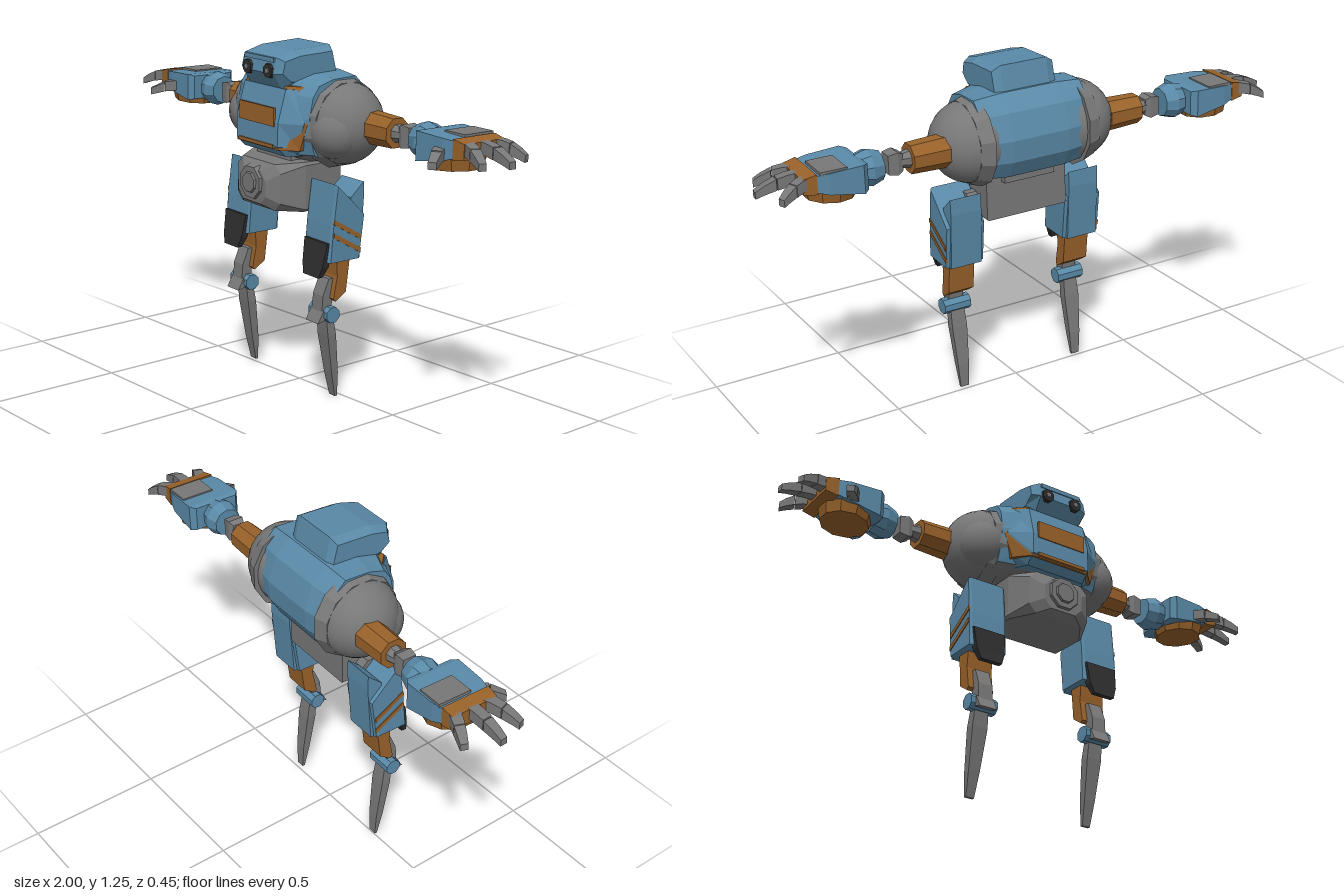
import * as THREE from 'three';

const mat = (name, color) => { const m = new THREE.MeshStandardMaterial({ color }); m.name = name; return m; };
const blue = mat('blue paint', 0x5a8aa8), grey = mat('grey metal', 0x787878);
const orange = mat('orange paint', 0x99622a), dark = mat('dark rubber', 0x2e2e2e);

function add(parent, name, geo, material) {
  const m = new THREE.Mesh(geo, material);
  m.name = name;
  parent.add(m);
  return m;
}
function flat(geo) {
  const g = geo.index ? geo.toNonIndexed() : geo;
  g.computeVertexNormals();
  return g;
}

// Skin a run of equal-length rings, with end caps. groupOf(j) picks a material slot for each side strip.
function loft(rings, groupOf = () => 0) {
  const n = rings[0].length, geo = new THREE.BufferGeometry(), slots = new Map(), last = rings.length - 1;
  const put = (slot, a, b, c) => { if (!slots.has(slot)) slots.set(slot, []); slots.get(slot).push([a, b, c]); };
  for (let j = 0; j < n; j++) {
    const k = (j + 1) % n;
    for (let i = 0; i < last; i++) {
      put(groupOf(j), rings[i][j], rings[i + 1][j], rings[i + 1][k]);
      put(groupOf(j), rings[i][j], rings[i + 1][k], rings[i][k]);
    }
  }
  for (const [ring, front] of [[rings[0], true], [rings[last], false]]) {
    const c = [0, 1, 2].map(a => ring.reduce((s, p) => s + p[a], 0) / n);
    for (let j = 0; j < n; j++) {
      const p = ring[j], q = ring[(j + 1) % n];
      front ? put(0, c, p, q) : put(0, c, q, p);
    }
  }
  // Turn the faces outward if the rings ran the other way.
  let volume = 0;
  const o = new THREE.Vector3(...rings[0][0]);
  const v = p => new THREE.Vector3(...p).sub(o);
  for (const tris of slots.values()) for (const [a, b, c] of tris) volume += v(a).dot(v(b).cross(v(c)));
  const pos = [];
  for (const [slot, tris] of slots) {
    geo.addGroup(pos.length / 3, tris.length * 3, slot);
    for (const [a, b, c] of tris) pos.push(...a, ...(volume > 0 ? b : c), ...(volume > 0 ? c : b));
  }
  geo.setAttribute('position', new THREE.Float32BufferAttribute(pos, 3));
  if (slots.size === 1) geo.clearGroups();
  return flat(geo);
}
const sideX = (x, zy) => zy.map(([z, y]) => [x, y, z]);
const slabX = (x0, x1, zy) => loft([sideX(x0, zy), sideX(x1, zy)]);
const rectY = (y, x, z, hx, hz) => [[x - hx, y, z - hz], [x + hx, y, z - hz], [x + hx, y, z + hz], [x - hx, y, z + hz]];
const rectZ = (z, hx, y0, y1, c) => [[-hx + c, y0, z], [hx - c, y0, z], [hx, y0 + c, z], [hx, y1 - c, z],
  [hx - c, y1, z], [-hx + c, y1, z], [-hx, y1 - c, z], [-hx, y0 + c, z]];
const rectX = (x, y, z, hy, hz) => [[x, y - hy, z - hz], [x, y + hy, z - hz], [x, y + hy, z + hz], [x, y - hy, z + hz]];
const box = (x, y, z, w, h, d) => flat(new THREE.BoxGeometry(w, h, d).translate(x, y, z));
// Prism with its axis along x, from radius r0 at x0 to r1 at x1.
const prismX = (r0, r1, x0, x1, n, y, z) => flat(new THREE.CylinderGeometry(r1, r0, x1 - x0, n)
  .rotateX(0).rotateY(Math.PI / n).rotateZ(-Math.PI / 2).translate((x0 + x1) / 2, y, z));
const prismZ = (r0, r1, z0, z1, n, x, y) => flat(new THREE.CylinderGeometry(r1, r0, z1 - z0, n)
  .rotateY(Math.PI / n).rotateX(Math.PI / 2).translate(x, y, (z0 + z1) / 2));
// Rectangular beam following points, tapering from half-width w0 to w1.
function beam(pts, w0, w1, h0, h1) {
  const a = pts[0], b = pts[pts.length - 1], len = Math.hypot(b[0] - a[0], b[2] - a[2]);
  const nx = -(b[2] - a[2]) / len, nz = (b[0] - a[0]) / len;
  return loft(pts.map(([x, y, z], i) => {
    const t = i / (pts.length - 1), w = w0 + (w1 - w0) * t, h = h0 + (h1 - h0) * t;
    return [[-1, -1], [-1, 1], [1, 1], [1, -1]].map(([s, u]) => [x + nx * w * s, y + h * u, z + nz * w * s]);
  }));
}

function mirrored(src, name) {
  const out = new THREE.Group();
  out.name = name;
  for (const m of src.children) {
    const g = (m.geometry.index ? m.geometry.toNonIndexed() : m.geometry.clone()).scale(-1, 1, 1);
    for (const a of [g.attributes.position, g.attributes.normal])
      for (let i = 0; i < a.count; i += 3) {
        const p = new THREE.Vector3().fromBufferAttribute(a, i + 1), q = new THREE.Vector3().fromBufferAttribute(a, i + 2);
        a.setXYZ(i + 1, q.x, q.y, q.z);
        a.setXYZ(i + 2, p.x, p.y, p.z);
      }
    add(out, m.name, g, m.material);
  }
  return out;
}

function makeTorso() {
  const g = new THREE.Group();
  g.name = 'torso';
  // Barrel shell: blue over the front, top and back, grey underneath
  const prof = [[0.13, 0.885], [0.16, 0.96], [0.165, 1.02], [0.145, 1.1], [0.11, 1.14], [0.03, 1.16], [-0.09, 1.165],
    [-0.15, 1.11], [-0.183, 1.02], [-0.178, 0.94], [-0.14, 0.875], [-0.03, 0.845], [0.06, 0.855]];
  const ring = (x, f, b, h) => sideX(x, prof.map(([z, y]) => [-0.03 + (z + 0.03) * (z > -0.03 ? f : b), 1 + (y - 1) * h]));
  add(g, 'torsoShell', loft([ring(-0.21, 0.76, 0.89, 0.94), ring(-0.11, 1, 1, 1), ring(0.11, 1, 1, 1), ring(0.21, 0.76, 0.89, 0.94)],
    j => (j >= 10 ? 1 : 0)), [blue, grey]);
  // Chest plate with an orange frame behind it
  const plan = (y, hw, z) => [[-hw, y, z - 0.16], [hw, y, z - 0.16], [hw, y, z - 0.055], [0.12, y, z], [-0.12, y, z], [-hw, y, z - 0.055]];
  add(g, 'chestFrame', loft([plan(0.905, 0.172, 0.183), plan(1, 0.203, 0.176), plan(1.125, 0.178, 0.142)]), orange);
  add(g, 'chestPlate', loft([plan(0.88, 0.15, 0.15), plan(0.916, 0.164, 0.186), plan(1, 0.194, 0.184), plan(1.115, 0.168, 0.152)]), blue);
  add(g, 'chestBadge', box(0, 1.018, 0.184, 0.2, 0.065, 0.009).rotateX(0), orange);
  add(g, 'chestLip', box(0, 0.916, 0.182, 0.2, 0.012, 0.02), orange);
  add(g, 'waist', loft([rectY(0.83, 0, 0.01, 0.1, 0.1), rectY(0.92, 0, 0.01, 0.1, 0.1)]), grey);
  return g;
}

function makeHead() {
  const g = new THREE.Group();
  g.name = 'head';
  const inner = [[0.182, 1.165], [0.172, 1.222], [0.1, 1.243], [-0.06, 1.252], [-0.082, 1.155], [-0.05, 1.1], [0.14, 1.1]];
  const outer = [[0.165, 1.168], [0.155, 1.21], [0.09, 1.225], [-0.05, 1.232], [-0.072, 1.15], [-0.05, 1.12], [0.13, 1.14]];
  add(g, 'headShell', loft([sideX(-0.12, outer), sideX(-0.09, inner), sideX(0.09, inner), sideX(0.12, outer)]), blue);
  add(g, 'browPlate', box(0, 1.213, 0.173, 0.17, 0.016, 0.012), blue);
  for (const x of [-0.06, 0.06]) {
    add(g, 'eyeRing', prismZ(0.027, 0.025, 0.165, 0.188, 8, x, 1.175), dark);
    add(g, 'eyeLens', prismZ(0.012, 0.01, 0.18, 0.192, 8, x, 1.175), grey);
  }
  return g;
}

function makePelvis() {
  const g = new THREE.Group();
  g.name = 'pelvis';
  add(g, 'pelvisBlock', loft([rectZ(-0.065, 0.16, 0.69, 0.855, 0.005), rectZ(0.09, 0.16, 0.68, 0.858, 0.01),
    rectZ(0.175, 0.125, 0.685, 0.85, 0.03), rectZ(0.205, 0.08, 0.705, 0.82, 0.03)]), grey);
  add(g, 'pelvisBoss', prismZ(0.068, 0.06, 0.19, 0.215, 8, 0, 0.775), grey);
  add(g, 'pelvisHub', prismZ(0.042, 0.036, 0.21, 0.222, 8, 0, 0.775), grey);
  add(g, 'hipAxle', prismX(0.04, 0.04, -0.2, 0.2, 8, 0.74, 0.03), grey);
  return g;
}

function makeLeg() {
  const g = new THREE.Group();
  g.name = 'leftLeg';
  const cx = 0.24;
  // Thigh armour with a top sloping down to the rear
  const thigh = [[0.072, 0.805], [0.09, 0.66], [0.1, 0.53], [-0.032, 0.53], [-0.052, 0.69]];
  const inset = thigh.map(([z, y]) => [z * 0.95, y * 0.98 + 0.012]);
  add(g, 'thigh', loft([sideX(cx - 0.074, inset), sideX(cx - 0.064, thigh), sideX(cx + 0.064, thigh), sideX(cx + 0.074, inset)]), blue);
  add(g, 'thighRear', slabX(cx - 0.06, cx + 0.06, [[0, 0.75], [0, 0.53], [-0.045, 0.53], [-0.058, 0.74], [-0.056, 0.8]]), blue);
  for (const y of [0.685, 0.637])
    add(g, 'thighStripe', slabX(cx + 0.07, cx + 0.077, [[0.083, y], [0.086, y - 0.016], [-0.034, y - 0.085], [-0.036, y - 0.068]]), orange);
  add(g, 'kneeGuard', loft([rectY(0.475, cx, 0.115, 0.042, 0.01), rectY(0.515, cx, 0.103, 0.056, 0.014), rectY(0.6, cx, 0.092, 0.064, 0.012)]), dark);
  // Lower leg
  add(g, 'shinBlock', slabX(cx - 0.05, cx + 0.05, [[0.05, 0.54], [0.045, 0.47], [0.06, 0.39], [0.05, 0.38], [0.005, 0.41], [-0.01, 0.54]]), orange);
  add(g, 'shinRod', slabX(cx - 0.028, cx + 0.028, [[0.065, 0.46], [0.09, 0.4], [0.095, 0.32], [0.055, 0.32], [0.04, 0.46]]), grey);
  add(g, 'ankle', prismX(0.03, 0.03, cx - 0.053, cx + 0.053, 8, 0.333, 0.062), blue);
  add(g, 'ankleGuard', slabX(cx - 0.035, cx + 0.035, [[0.09, 0.35], [0.115, 0.305], [0.075, 0.315]]), grey);
  add(g, 'footBlade', loft([rectY(0.01, cx, 0.012, 0.016, 0.005), rectY(0.1, cx, 0.024, 0.022, 0.014),
    rectY(0.25, cx, 0.047, 0.03, 0.018), rectY(0.34, cx, 0.06, 0.026, 0.014)]), grey);
  return g;
}

function makeArm() {
  const g = new THREE.Group();
  g.name = 'leftArm';
  const y = 0.995, z = -0.068;
  // Shoulder
  add(g, 'shoulderCollar', prismX(0.165, 0.148, 0.185, 0.235, 12, y, -0.035), grey);
  add(g, 'shoulderBall', new THREE.SphereGeometry(0.147, 24, 16).translate(0.203, y, -0.035), grey);
  add(g, 'shoulderSocket', new THREE.SphereGeometry(0.098, 20, 14).translate(0.235, 0.975, 0.02), grey);
  // Arm and elbow links
  add(g, 'upperArm', prismX(0.06, 0.055, 0.32, 0.455, 8, y, z), orange);
  add(g, 'elbowRod', prismX(0.034, 0.024, 0.45, 0.5, 8, y, z), grey);
  add(g, 'elbowBlock', loft([rectX(0.485, y, z, 0.03, 0.022), rectX(0.505, y, z, 0.04, 0.03), rectX(0.54, y, z, 0.034, 0.026)]), grey);
  add(g, 'wrist', prismX(0.052, 0.066, 0.562, 0.605, 10, y, z), blue);
  add(g, 'wristCuff', prismX(0.066, 0.055, 0.605, 0.648, 10, y, z), blue);
  // Hand
  add(g, 'handShell', loft([rectX(0.64, 1, z, 0.045, 0.085), rectX(0.66, 1, z, 0.05, 0.103), rectX(0.78, 1.008, z, 0.037, 0.1),
    rectX(0.84, 1.015, z, 0.025, 0.085)]), blue);
  const palm = flat(new THREE.CylinderGeometry(0.1, 0.088, 0.05, 10)).rotateZ(0.06).translate(0.745, 0.958, z);
  add(g, 'palm', palm, orange);
  add(g, 'handPlate', box(0.762, 1.046, -0.1, 0.095, 0.014, 0.125), grey);
  add(g, 'knuckleBand', loft([rectX(0.82, 1.013, z, 0.035, 0.092), rectX(0.868, 1.012, z, 0.026, 0.088)]), orange);
  // Fingers and thumb, two links each
  for (const [z0, x1, z1] of [[-0.135, 0.95, -0.175], [-0.072, 1.0, -0.062], [-0.01, 0.968, 0.036]]) {
    const p = t => [0.85 + (x1 - 0.85) * t, 1.02 - 0.035 * t * t, z0 + (z1 - z0) * t];
    add(g, 'fingerBase', beam([p(0), p(0.25), p(0.5)], 0.02, 0.018, 0.02, 0.02), grey);
    add(g, 'fingerTip', beam([p(0.52), p(0.8), p(1)], 0.018, 0.013, 0.019, 0.012), grey);
  }
  add(g, 'thumbBase', beam([[0.755, 0.995, 0.01], [0.785, 0.99, 0.06]], 0.02, 0.018, 0.02, 0.019), grey);
  add(g, 'thumbTip', beam([[0.787, 0.988, 0.062], [0.815, 0.97, 0.105]], 0.018, 0.014, 0.018, 0.012), grey);
  return g;
}

export function createModel() {
  const model = new THREE.Group(), pose = new THREE.Group(), body = new THREE.Group();
  model.name = 'robot';
  pose.name = 'pose';
  body.name = 'body';
  // The whole figure leans and turns slightly about the chest
  pose.position.set(-0.002, 1, 0);
  pose.rotation.set(0, -0.045, -0.025);
  body.position.y = -1;
  const leg = makeLeg(), arm = makeArm();
  body.add(makeTorso(), makeHead(), makePelvis(), leg, mirrored(leg, 'rightLeg'), arm, mirrored(arm, 'rightArm'));
  pose.add(body);
  model.add(pose);
  return model;
}
